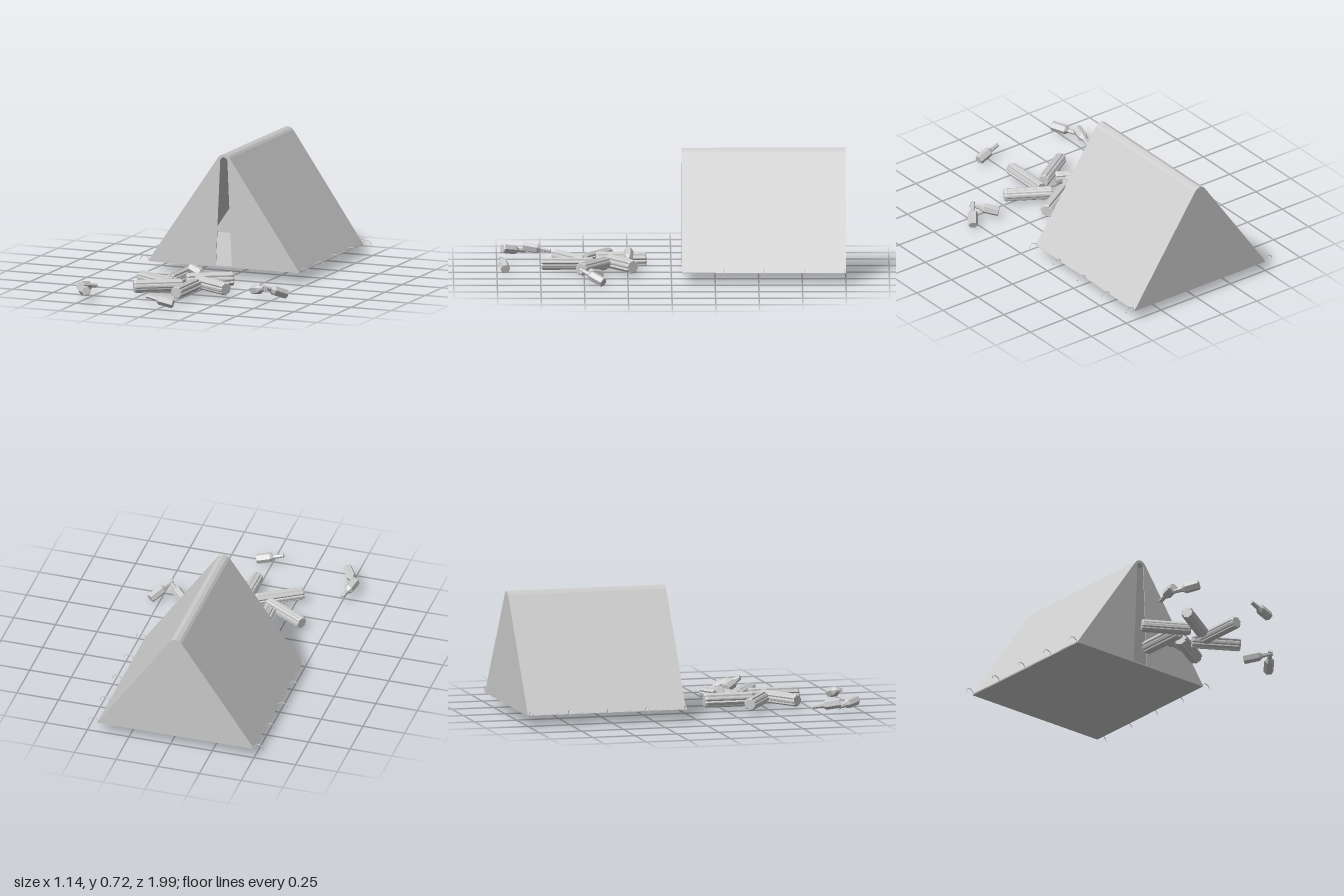
import * as THREE from 'three';

const grey = new THREE.MeshStandardMaterial({ color: 0xcccccc, flatShading: true });
const cloth = new THREE.MeshStandardMaterial({ color: 0xcccccc, flatShading: true, side: THREE.DoubleSide });
const V = (x, y, z) => new THREE.Vector3(x, y, z);
const UP = V(0, 1, 0);

function add(parent, name, geometry, material = grey) {
  const mesh = new THREE.Mesh(geometry, material);
  mesh.name = name;
  parent.add(mesh);
  return mesh;
}

function seeded(seed) {
  let s = seed * 7919 + 17;
  return () => (s = (s * 16807) % 2147483647) / 2147483647;
}

// Shape from half a profile, mirrored about x = 0 (last point lies on the axis)
function mirroredPoints(half) {
  const left = half.map(([x, y]) => new THREE.Vector2(-x, y));
  const right = half.slice(0, -1).reverse().map(([x, y]) => new THREE.Vector2(x, y));
  return [...left, ...right];
}

// Ridge tent: cloth, end walls, floor and hooked pegs
function makeTent() {
  const tent = new THREE.Group();
  tent.name = 'tent';
  const depth = 0.94, bottom = 0.065;
  const outer = mirroredPoints([[0.47, bottom], [0.035, 0.7], [0.022, 0.712], [0, 0.72]]);
  const inner = mirroredPoints([[0.462, bottom], [0.032, 0.694], [0.02, 0.706], [0, 0.713]]);
  const slit = mirroredPoints([[0.05, bottom], [0.022, 0.685], [0.017, 0.695], [0, 0.703]]);
  const slab = (pts, d) => new THREE.ExtrudeGeometry(new THREE.Shape(pts), { depth: d, bevelEnabled: false });

  add(tent, 'roof', slab([...outer, ...inner.slice().reverse()], depth));
  add(tent, 'backWall', slab(outer, 0.004));
  const front = add(tent, 'frontWall', slab([...outer, ...slit.slice().reverse()], 0.004));
  front.position.z = depth - 0.004;
  const floor = add(tent, 'floor', new THREE.BoxGeometry(0.935, 0.008, depth));
  floor.position.set(0, bottom, depth / 2);

  for (const side of [-1, 1]) {
    for (let i = 0; i < 5; i++) {
      const peg = add(tent, 'peg', new THREE.TorusGeometry(0.028, 0.002, 5, 10, Math.PI));
      peg.position.set(side * 0.497, 0.062, 0.01 + i * 0.23);
    }
  }
  tent.position.set(-0.03, 0, -1);
  return tent;
}

// Log with irregular bark ridges and chamfered ends
function makeLog(a, b, radius, seed) {
  const length = a.distanceTo(b), sides = 32, rand = seeded(seed);
  const ridge = Array.from({ length: sides }, (_, i) =>
    radius * (i % 4 === 0 ? 0.76 + 0.14 * rand() : 0.94 + 0.06 * rand()));
  const geometry = new THREE.CylinderGeometry(1, 1, length, sides, 3);
  const p = geometry.attributes.position;
  for (let i = 0; i < p.count; i++) {
    const x = p.getX(i), y = p.getY(i), z = p.getZ(i);
    const k = (Math.round(Math.atan2(z, x) / (2 * Math.PI) * sides) + sides) % sides;
    const end = Math.abs(y) > length * 0.4;
    const r = ridge[k] * (end ? 0.84 : 1);
    p.setXYZ(i, x * r, end ? y : Math.sign(y) * (length / 2 - 0.01), z * r);
  }
  geometry.computeVertexNormals();
  const log = new THREE.Mesh(geometry, grey);
  log.name = 'log';
  log.position.copy(a).lerp(b, 0.5);
  log.quaternion.setFromUnitVectors(UP, b.clone().sub(a).normalize());
  return log;
}

// Six-sided bottle from its base to the tip of its neck
function makeBottle(base, tip) {
  const h = base.distanceTo(tip);
  const profile = [[0, 0], [0.025, 0], [0.029, 0.004], [0.029, h * 0.52], [0.014, h * 0.64],
    [0.011, h * 0.96], [0.013, h * 0.96], [0.013, h], [0, h]];
  const geometry = new THREE.LatheGeometry(profile.map(([x, y]) => new THREE.Vector2(x, y)), 6);
  const bottle = new THREE.Mesh(geometry, grey);
  bottle.name = 'bottle';
  bottle.position.copy(base);
  bottle.quaternion.setFromUnitVectors(UP, tip.clone().sub(base).normalize());
  return bottle;
}

export function createModel() {
  const model = new THREE.Group();
  model.name = 'campsite';
  model.add(makeTent());

  // Campfire logs: x and z of both ends, radius
  const logs = new THREE.Group();
  logs.name = 'campfire';
  [
    [-0.155, 0.14, -0.155, 0.43, 0.042],
    [-0.085, 0.36, 0.15, 0.22, 0.042],
    [-0.01, 0.375, 0.23, 0.52, 0.04],
    [0.015, 0.45, 0.015, 0.745, 0.037],
    [-0.285, 0.66, -0.045, 0.51, 0.038],
    [-0.37, 0.355, -0.125, 0.5, 0.038],
  ].forEach(([x1, z1, x2, z2, r], i) =>
    logs.add(makeLog(V(x1, 0.056, z1), V(x2, 0.056, z2), r, i + 1)));
  model.add(logs);

  // Scattered bottles: base point, neck tip
  const bottles = new THREE.Group();
  bottles.name = 'bottles';
  [
    [V(0.352, 0.042, 0.405), V(0.475, 0.076, 0.52)],
    [V(0.55, 0.026, 0.39), V(0.455, 0.086, 0.52)],
    [V(-0.542, 0.073, 0.845), V(-0.508, 0.05, 0.69)],
    [V(-0.453, 0.072, 0.967), V(-0.54, 0.046, 0.835)],
    [V(0.085, 0.036, 0.952), V(-0.07, 0.073, 0.977)],
    [V(-0.115, 0.109, 0.245), V(0.018, 0.055, 0.25)],
  ].forEach(([base, tip]) => bottles.add(makeBottle(base, tip)));
  model.add(bottles);
  return model;
}
